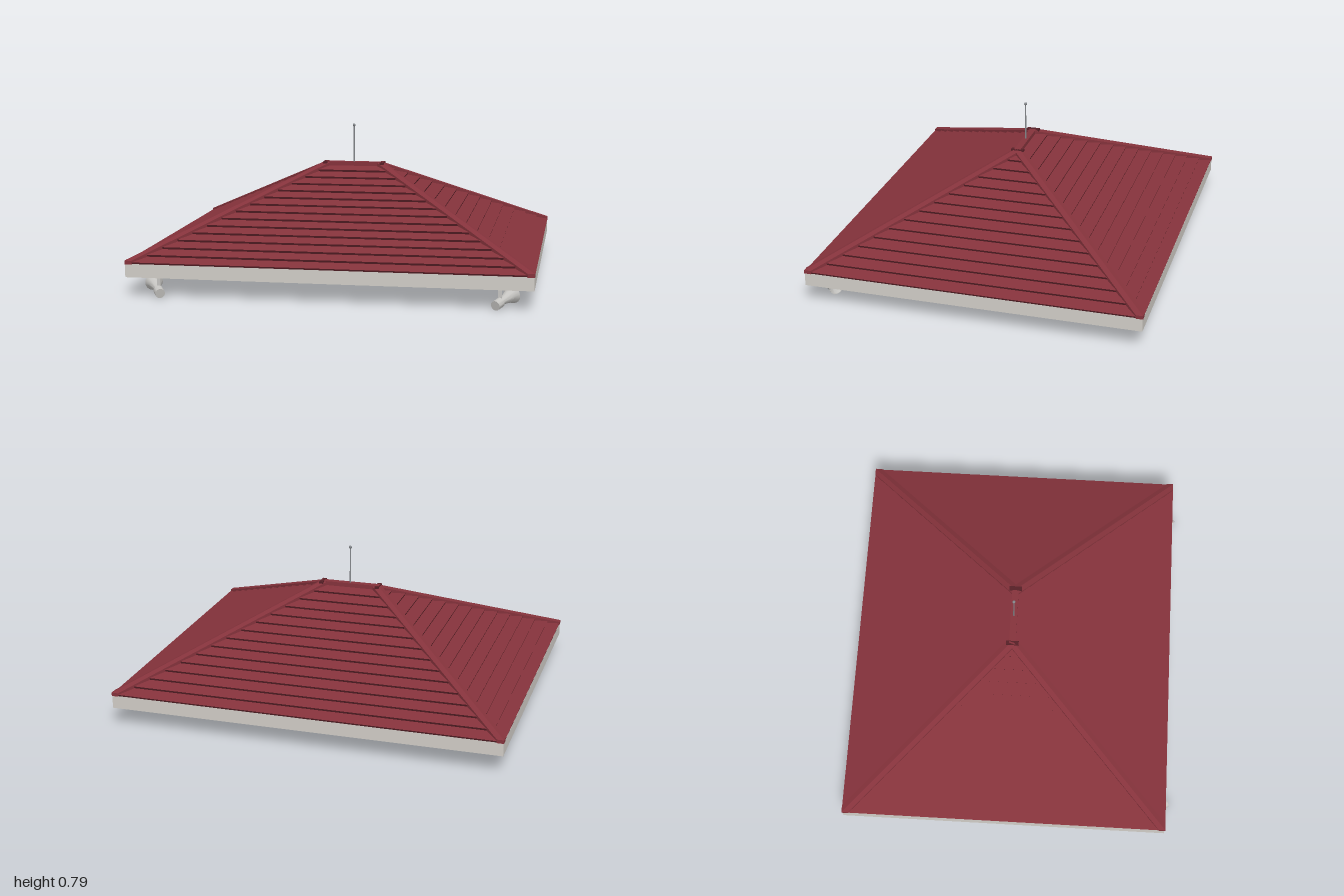
import * as THREE from 'three';
import { toCreasedNormals } from 'three/addons/utils/BufferGeometryUtils.js';

const CZ = -0.0125; // roof centre in z
const HX = 1, HZ = 0.85, EAVE = 0.165; // half width, half depth, eave height
const TOP_X = 0.155, TOP_Z = 0.012, TOP_Y = 0.57;

const roofRed = new THREE.MeshStandardMaterial({ name: 'roofRed', color: 0x84323b });
const shingleEdge = new THREE.MeshStandardMaterial({ name: 'shingleEdge', color: 0x551f26 });
const trimGrey = new THREE.MeshStandardMaterial({ name: 'trimGrey', color: 0xd0ccc6 });
const soffitGrey = new THREE.MeshStandardMaterial({ name: 'soffitGrey', color: 0xb8b5b0 });
const metal = new THREE.MeshStandardMaterial({ name: 'metal', color: 0xc4c3c0 });
const antennaGrey = new THREE.MeshStandardMaterial({ name: 'antennaGrey', color: 0x85888c });

function add(parent, name, geometry, material, x = 0, y = 0, z = 0) {
  const mesh = new THREE.Mesh(geometry, material);
  mesh.name = name;
  mesh.position.set(x, y, z);
  parent.add(mesh);
  return mesh;
}

function flatGeometry(positions) {
  const g = new THREE.BufferGeometry();
  g.setAttribute('position', new THREE.Float32BufferAttribute(positions, 3));
  g.computeVertexNormals();
  return g;
}

// Quad a-b-c-d, counter-clockwise seen from outside
function quad(out, a, b, c, d) {
  for (const p of [a, b, c, a, c, d]) out.push(...p);
}

// Four corners of a level rectangle, counter-clockwise seen from above
const rect = (hx, y, hz) => [[-hx, y, hz], [hx, y, hz], [hx, y, -hz], [-hx, y, -hz]];

function band(out, lower, upper) {
  for (let i = 0; i < 4; i++) {
    const j = (i + 1) % 4;
    quad(out, lower[i], lower[j], upper[j], upper[i]);
  }
}

// Overlapping shingle courses: a sloping face above a thin, undercut edge
function addShingles(parent) {
  const courses = 14, rise = 0.01, treads = [], edges = [];
  const at = (t, lift, inset = 0) => rect(
    THREE.MathUtils.lerp(HX, TOP_X, t) - inset,
    THREE.MathUtils.lerp(EAVE, TOP_Y, t) + lift,
    THREE.MathUtils.lerp(HZ, TOP_Z, t) - inset);
  for (let i = 0; i < courses; i++) {
    const t0 = i / courses, t1 = (i + 1) / courses;
    band(edges, at(t0, 0, 0.003), at(t0, rise));
    band(treads, at(t0, rise), at(t1, 0, 0.003));
  }
  quad(treads, ...at(1, 0));
  add(parent, 'shingles', flatGeometry(treads), roofRed);
  add(parent, 'shingleEdges', flatGeometry(edges), shingleEdge);
}

// Folded cap running up one hip, lying on both neighbouring slopes
function hipCap(sx, sz) {
  const w = 0.035, lift = 0.018;
  const section = (x, y, z) => [
    [x - w, y, z], [x - w, y + lift, z], [x, y + lift, z], [x, y + lift, z - w], [x, y, z - w], [x, y, z],
  ].map(([px, py, pz]) => [px * sx, py, pz * sz]);
  const a = section(HX, EAVE, HZ), b = section(TOP_X, TOP_Y, TOP_Z);
  const out = [];
  const face = (p, q, r, s) => (sx * sz > 0 ? quad(out, p, q, r, s) : quad(out, s, r, q, p));
  for (let i = 0; i < 6; i++) {
    const j = (i + 1) % 6;
    face(a[j], b[j], b[i], a[i]);
  }
  // closed ends
  face(a[0], a[5], a[2], a[1]);
  face(a[5], a[4], a[3], a[2]);
  face(b[1], b[2], b[5], b[0]);
  face(b[2], b[3], b[4], b[5]);
  // orient every face outwards
  return flatGeometry(out);
}

// Horn loudspeaker, pointing from its driver to its mouth
function addSpeaker(parent, side) {
  const speaker = new THREE.Group();
  speaker.name = side > 0 ? 'leftSpeaker' : 'rightSpeaker';
  parent.add(speaker);
  const profile = [
    [0, 0], [0.024, 0], [0.024, 0.045], [0.018, 0.048], [0.018, 0.065], [0.023, 0.09],
    [0.031, 0.12], [0.043, 0.148], [0.045, 0.152], [0.042, 0.152], [0.024, 0.138], [0, 0.134],
  ].map(([r, y]) => new THREE.Vector2(r, y));
  const from = new THREE.Vector3(0.817 * side, 0.028, 0.852);
  const dir = new THREE.Vector3(0.07 * side, 0.03, -0.13).normalize();
  const horn = add(speaker, 'horn', toCreasedNormals(new THREE.LatheGeometry(profile, 20), 0.6),
    metal, from.x, from.y, from.z);
  horn.quaternion.setFromUnitVectors(new THREE.Vector3(0, 1, 0), dir);
  add(speaker, 'bracket', new THREE.BoxGeometry(0.018, 0.085, 0.015), metal, 0.835 * side, 0.06, 0.803);
}

// Flat rectangular frame, extruded downwards
function frame(hx, hz, innerX, innerZ, depth) {
  const points = (x, z) => [[-x, -z], [x, -z], [x, z], [-x, z]].map(p => new THREE.Vector2(...p));
  const shape = new THREE.Shape(points(hx, hz));
  shape.holes.push(new THREE.Path(points(innerX, innerZ)));
  return new THREE.ExtrudeGeometry(shape, { depth, bevelEnabled: false }).rotateX(Math.PI / 2);
}

export function createModel() {
  const model = new THREE.Group();
  model.name = 'hippedRoof';
  const roof = new THREE.Group();
  roof.name = 'roof';
  roof.position.z = CZ;
  model.add(roof);

  // Fascia and stepped soffit
  add(roof, 'fascia', frame(HX - 0.002, HZ - 0.002, HX - 0.02, HZ - 0.02, 0.067), trimGrey, 0, 0.167);
  add(roof, 'soffitBorder', frame(HX - 0.02, HZ - 0.02, 0.9, 0.75, 0.03), soffitGrey, 0, 0.13);
  add(roof, 'soffitStep', frame(0.9, 0.75, 0.83, 0.68, 0.03), soffitGrey, 0, 0.134);
  add(roof, 'ceiling', new THREE.BoxGeometry(1.68, 0.03, 1.38), soffitGrey, 0, 0.123);

  // Slopes and hip caps
  addShingles(roof);
  for (const sx of [-1, 1]) {
    for (const sz of [-1, 1]) add(roof, 'hipCap', hipCap(sx, sz), roofRed);
    add(roof, 'ridgeEnd', new THREE.BoxGeometry(0.022, 0.012, 0.066), shingleEdge, sx * 0.152, 0.583);
  }
  add(roof, 'ridgeCap', new THREE.BoxGeometry(0.32, 0.022, 0.034), roofRed, 0, 0.578);

  // Antenna
  add(roof, 'antennaRod', new THREE.CylinderGeometry(0.003, 0.004, 0.2, 8), antennaGrey, 0, 0.685);
  add(roof, 'antennaTip', new THREE.SphereGeometry(0.008, 12, 8), antennaGrey, 0, 0.784);

  // Loudspeakers under the front corners
  for (const side of [-1, 1]) addSpeaker(model, side);
  return model;
}
